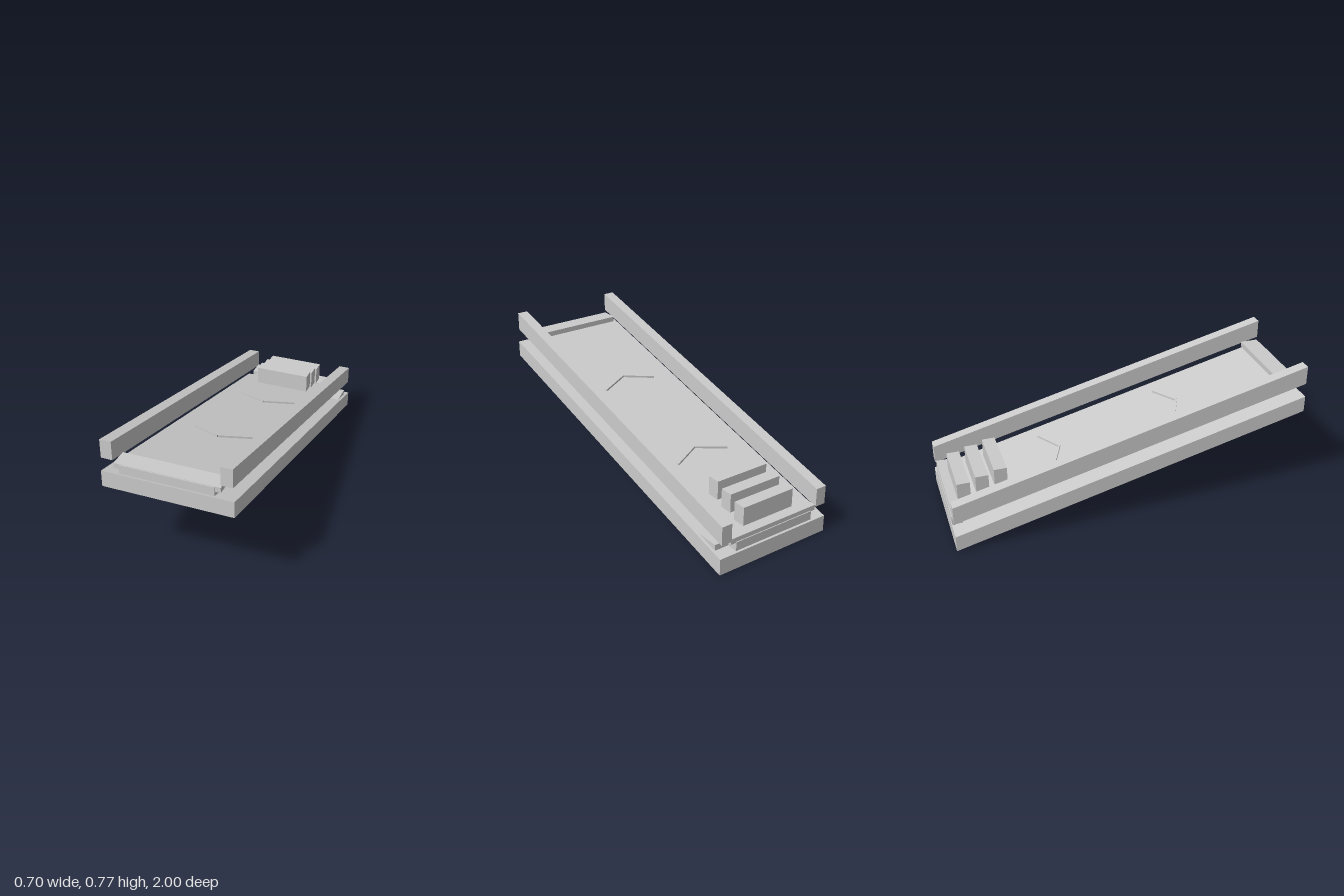
import * as THREE from 'three';

const SLOPE = 0.25;
const material = new THREE.MeshStandardMaterial({ color: 0xcccccc, flatShading: true });

// Tilt a geometry by raising y in proportion to z, keeping its ends vertical
function shear(geometry) {
  const p = geometry.attributes.position;
  for (let i = 0; i < p.count; i++) p.setY(i, p.getY(i) + SLOPE * p.getZ(i));
  geometry.computeVertexNormals();
  return geometry;
}

// Box given by its limits on each axis
function boxBetween(x0, x1, y0, y1, z0, z1) {
  return new THREE.BoxGeometry(x1 - x0, y1 - y0, z1 - z0)
    .translate((x0 + x1) / 2, (y0 + y1) / 2, (z0 + z1) / 2);
}

export function createModel() {
  const model = new THREE.Group();
  model.name = 'slopedConveyor';
  const add = (name, geometry) => {
    const mesh = new THREE.Mesh(geometry, material);
    mesh.name = name;
    model.add(mesh);
  };

  // Sloping base slab and the belt bed just above it
  add('base', shear(boxBetween(-0.35, 0.35, 0.25, 0.342, -1, 1)));
  add('belt', shear(boxBetween(-0.25, 0.25, 0.35, 0.397, -0.995, 0.995)));

  // Side rails
  for (const side of [-1, 1]) {
    const rail = boxBetween(-0.031, 0.031, 0.42, 0.525, -1, 1).translate(side * 0.312, 0, 0);
    add(side > 0 ? 'leftRail' : 'rightRail', shear(rail));
  }

  // Level end caps and the end bars beneath them
  add('frontCap', boxBetween(-0.28, 0.28, 0.622, 0.652, 0.895, 0.995));
  add('rearCap', boxBetween(-0.28, 0.28, 0.15, 0.18, -0.995, -0.895));
  add('frontEndBar', boxBetween(-0.25, 0.25, 0.6, 0.65, 0.94, 1));
  add('rearEndBar', boxBetween(-0.25, 0.25, 0.105, 0.155, -1, -0.94));

  // Three raised blocks at the low end
  for (let i = 0; i < 3; i++) {
    const z = -0.703 - i * 0.103;
    const y = 0.24 - i * 0.0257;
    add('stepBlock' + (i + 1), boxBetween(-0.162, 0.162, y, y + 0.105, z - 0.036, z + 0.036));
  }

  // Chevron ridges on the belt: apex z, and z at the ends of the arms
  for (const [apex, end] of [[0.37, 0.29], [-0.33, -0.41]]) {
    const dz = end - apex;
    for (const side of [-1, 1]) {
      const arm = new THREE.BoxGeometry(Math.hypot(0.17, dz), 0.012, 0.01)
        .rotateY(-Math.atan2(dz, side * 0.17))
        .translate(side * 0.085, 0.402, (apex + end) / 2);
      add('chevronArm', shear(arm));
    }
  }

  // Drive housing passing through the base on one side
  add('driveHousing', boxBetween(0.24, 0.335, 0.036, 0.14, -0.94, -0.78));

  return model;
}
